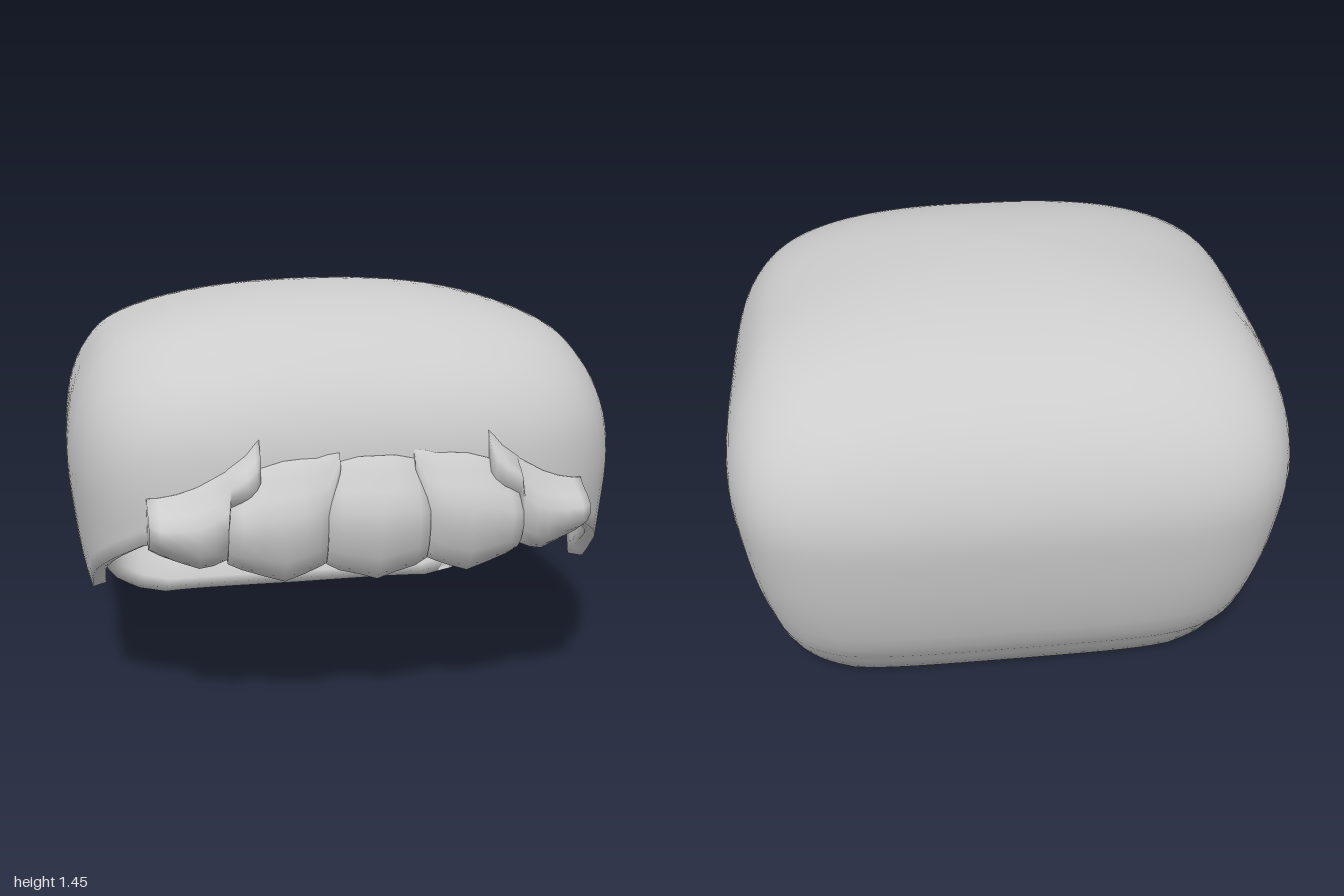
import * as THREE from 'three';

const V2 = (x, y) => new THREE.Vector2(x, y);
const { lerp, smoothstep } = THREE.MathUtils;
const TOP = 1.45;

// Dome profile at equal steps of v, from the base to the crown
const halfWidth = [0.86, 0.905, 0.955, 0.985, 1.0, 0.98, 0.92, 0.815, 0.6, 0.315, 0];
const midZ = [-0.1, -0.1, -0.1, -0.1, -0.1, -0.1, -0.08, -0.05, -0.01, 0.02, 0.03];
const frontZ = [0.84, 0.85, 0.86, 0.862, 0.865, 0.845, 0.77, 0.635, 0.47, 0.26, 0.03];
const backZ = [-0.67, -0.82, -0.895, -0.935, -0.95, -0.905, -0.81, -0.665, -0.47, -0.23, 0.03];
const sideCurve = new THREE.SplineCurve(halfWidth.map((w, i) => V2(w, midZ[i])));
const depthCurve = new THREE.SplineCurve(frontZ.map((f, i) => V2(f, backZ[i])));

const vAt = y => Math.asin(Math.min(1, Math.max(0, y / TOP))) / (Math.PI / 2);

// Half sizes and squareness of the rounded-square section at level v
function section(v) {
  const s = sideCurve.getPoint(v), d = depthCurve.getPoint(v);
  const soft = smoothstep(v, 0.4, 1);
  return {
    w: s.x, c: s.y, front: d.x - s.y, back: s.y - d.y,
    nf: lerp(3.8, 2.5, soft), nb: lerp(5, 2.5, soft),
  };
}

// The inside is squarer than the outside, so the shell thins at its shoulders
function domePoint(a, v, inner) {
  const s = section(v), cx = Math.cos(a), cz = Math.sin(a);
  const n = (cz > 0 ? s.nf : s.nb) * (inner ? 1.25 : 1);
  const scale = inner ? lerp(0.935, 0.96, smoothstep(v, 0.35, 0.75)) : 1;
  const r = scale / Math.pow(Math.abs(cx) ** n + Math.abs(cz) ** n, 1 / n);
  const y = TOP * Math.sin(v * Math.PI / 2) - (inner ? 0.05 * v ** 3 : 0);
  return new THREE.Vector3(s.w * r * cx, y, s.c + (cz > 0 ? s.front : s.back) * r * cz);
}

// Depth of the dome's front at a given x and height
function domeFront(x, y) {
  const s = section(vAt(y));
  const t = Math.min(1, Math.abs(x) / s.w);
  return s.c + s.front * Math.pow(1 - t ** s.nf, 1 / s.nf);
}

// Skin a stack of closed loops
function skin(loops) {
  const n = loops[0].length, index = [];
  for (let j = 0; j < loops.length - 1; j++) {
    for (let i = 0; i < n; i++) {
      const k = (i + 1) % n, a = j * n + i, b = j * n + k;
      index.push(a, a + n, b, b, a + n, b + n);
    }
  }
  const g = new THREE.BufferGeometry().setFromPoints(loops.flat());
  g.setIndex(index);
  g.computeVertexNormals();
  return g;
}

// Hairline: [z, y] along one side, front to back
const hairline = [
  [0.8, 0.68], [0.75, 0.66], [0.65, 0.59], [0.5, 0.5], [0.4, 0.41], [0.32, 0.5], [0.15, 0.5],
  [0.08, 0.555], [0, 0.595], [-0.1, 0.585], [-0.25, 0.545], [-0.34, 0.5], [-0.43, 0.5],
  [-0.465, 0.39], [-0.5, 0.29], [-0.55, 0.19], [-0.595, 0.1], [-0.63, 0.035], [-0.65, 0.003],
];

function rimColumns() {
  const keys = hairline.map(([z, y]) => {
    const s = section(vAt(y)), ahead = z > s.c, n = ahead ? s.nf : s.nb;
    const t = Math.min(0.995, Math.abs(z - s.c) / (ahead ? s.front : s.back));
    return [Math.atan2(ahead ? t : -t, Math.pow(1 - t ** n, 1 / n)), y];
  });
  const half = [[Math.PI / 2, 0.68], ...keys, [-Math.PI / 2, 0]].sort((p, q) => p[0] - q[0]);
  const right = [];
  for (let i = 0; i < half.length - 1; i++) {
    const [a0, y0] = half[i], [a1, y1] = half[i + 1];
    const steps = Math.max(1, Math.ceil((a1 - a0) / 0.06));
    for (let k = 0; k < steps; k++) right.push([lerp(a0, a1, k / steps), lerp(y0, y1, k / steps)]);
  }
  right.push(half[half.length - 1]);
  const mirrored = right.slice(1, -1).reverse().map(([a, y]) => [Math.PI - a, y]);
  return [...right, ...mirrored];
}

// Thick shell: inside from crown to rim, then outside from rim to crown
function shellGeometry() {
  const columns = rimColumns(), rows = 28, loops = [];
  for (let j = rows; j >= 0; j--) {
    loops.push(columns.map(([a, y]) => {
      const lip = 0.055 * (1 - smoothstep(y, 0, 0.5));
      return domePoint(a, lerp(vAt(y + lip), 1, j / rows), true);
    }));
  }
  for (let j = 0; j <= rows; j++) {
    loops.push(columns.map(([a, y]) => domePoint(a, lerp(vAt(y), 1, j / rows), false)));
  }
  return skin(loops);
}

// Fringe lock from columns of [x, top, bottom, depth], bulging off the dome
const bulge = [[0, 0.2], [0.08, 0.5], [0.2, 0.8], [0.4, 1], [0.58, 0.98], [0.74, 0.66], [0.87, 0.28], [1, 0.05]];

function lockGeometry(columns) {
  const loops = columns.map(([x, top, bottom, depth]) => {
    const at = (t, off) => {
      const y = lerp(bottom, top, t);
      return new THREE.Vector3(x, y, domeFront(x, y) + off);
    };
    const front = bulge.map(([t, b]) => at(t, depth * b));
    const back = [1, 0.5, 0.2].map(t => at(t, -0.02));
    return [...front, ...back];
  });
  // Close both ends
  const close = loop => {
    const mid = loop.reduce((m, p) => m.add(p), new THREE.Vector3()).divideScalar(loop.length);
    return loop.map(() => mid.clone());
  };
  return skin([close(loops[0]), ...loops, close(loops[loops.length - 1])]);
}

const centreLock = [
  [-0.17, 0.88, 0.6, 0.055], [-0.13, 0.94, 0.578, 0.078], [-0.06, 0.955, 0.56, 0.086], [0, 0.955, 0.54, 0.088],
  [0.06, 0.955, 0.56, 0.086], [0.13, 0.94, 0.578, 0.078], [0.17, 0.88, 0.6, 0.055],
];
const middleLock = [
  [0.125, 0.97, 0.89, 0.02], [0.165, 0.965, 0.605, 0.045], [0.2, 0.955, 0.59, 0.075], [0.25, 0.955, 0.57, 0.085],
  [0.31, 0.95, 0.55, 0.088], [0.38, 0.93, 0.572, 0.088], [0.45, 0.88, 0.595, 0.085], [0.495, 0.85, 0.615, 0.065],
];
const outerLock = [
  [0.385, 1.02, 0.86, 0.03], [0.4, 1.005, 0.83, 0.04], [0.43, 0.97, 0.815, 0.055], [0.485, 0.93, 0.8, 0.065],
  [0.495, 0.92, 0.63, 0.07], [0.54, 0.895, 0.61, 0.085], [0.585, 0.87, 0.6, 0.09], [0.65, 0.845, 0.62, 0.1],
  [0.71, 0.83, 0.64, 0.115], [0.745, 0.825, 0.655, 0.11],
];

export function createModel() {
  const hair = new THREE.MeshStandardMaterial({ color: 0xcccccc });
  hair.name = 'hair grey';
  const model = new THREE.Group();
  model.name = 'hair';
  const add = (geometry, name) => {
    const mesh = new THREE.Mesh(geometry, hair);
    mesh.name = name;
    model.add(mesh);
  };
  const mirror = columns => columns.map(([x, ...rest]) => [-x, ...rest]).reverse();

  add(shellGeometry(), 'hairShell');
  add(lockGeometry(centreLock), 'centreFringeLock');
  for (const [columns, name] of [[middleLock, 'MiddleFringeLock'], [outerLock, 'OuterFringeLock']]) {
    add(lockGeometry(columns), 'left' + name);
    add(lockGeometry(mirror(columns)), 'right' + name);
  }
  return model;
}
